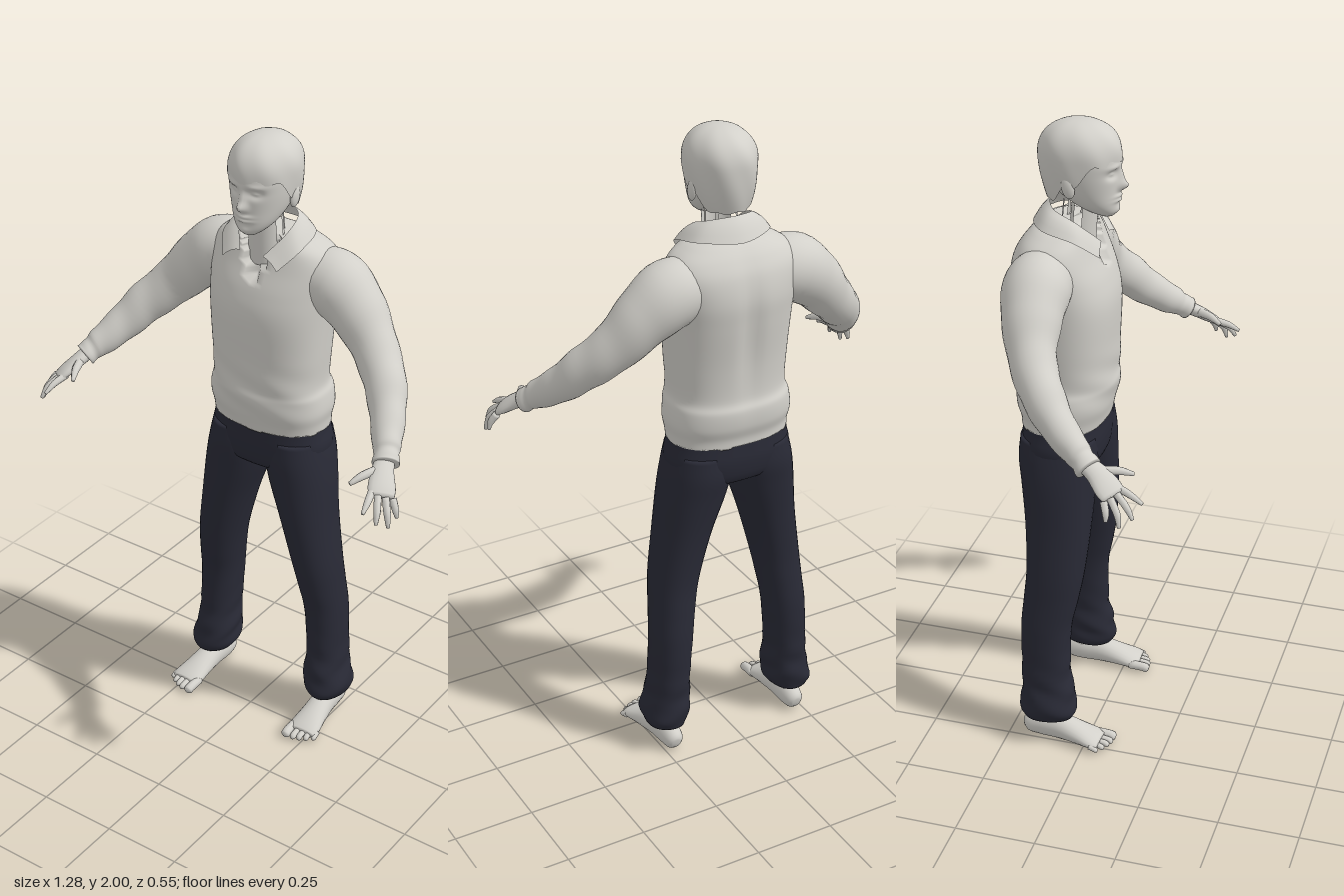
import * as THREE from 'three';
import { mergeVertices } from 'three/addons/utils/BufferGeometryUtils.js';

const V = (x, y, z) => new THREE.Vector3(x, y, z);
const bump = (d, w) => Math.exp(-(d * d) / (w * w));
const power = (c, n) => Math.sign(c) * Math.pow(Math.abs(c), 2 / n);

// Smooth surface from fn(i, j) over nu by nv cells, seams welded
function grid(fn, nu, nv) {
  const pos = [], idx = [];
  for (let i = 0; i <= nu; i++) for (let j = 0; j <= nv; j++) pos.push(...fn(i, j).toArray());
  for (let i = 0; i < nu; i++) for (let j = 0; j < nv; j++) {
    const a = i * (nv + 1) + j, b = a + nv + 1;
    idx.push(a, a + 1, b, a + 1, b + 1, b);
  }
  let g = new THREE.BufferGeometry();
  g.setAttribute('position', new THREE.Float32BufferAttribute(pos, 3));
  g.setIndex(idx);
  g = mergeVertices(g, 1e-5);
  g.computeVertexNormals();
  return g;
}

// Smoothly interpolates rows of up to six numbers
function rows(list) {
  const a = new THREE.CatmullRomCurve3(list.map(r => V(r[0], r[1], r[2])), false, 'catmullrom');
  const b = new THREE.CatmullRomCurve3(list.map(r => V(r[3], r[4] ?? r[3], 0)), false, 'catmullrom');
  return t => ({ a: a.getPoint(t), b: b.getPoint(t), tangent: a.getTangent(t) });
}
const capped = (i, n) => [Math.min(1, Math.max(0, (i - 1) / (n - 2))), i === 0 || i === n ? 0 : 1];

// Upright body from rows [y, centre x, half width, front z, back z]
function loft(list, nu, nv, n = 2.3, tweak = () => {}) {
  const at = rows(list);
  return grid((i, j) => {
    const [t, k] = capped(i, nu), { a, b } = at(t), th = j / nv * Math.PI * 2;
    const p = V(a.y + k * a.z * power(Math.cos(th), n), a.x,
      (b.x + b.y) / 2 - k * (b.x - b.y) / 2 * power(Math.sin(th), n));
    if (k) tweak(p, t, j % nv);
    return p;
  }, nu, nv);
}

// Limb from rows [x, y, z, radius along side, radius across]
function limb(list, side, nu = 14, nv = 12, tweak = () => 1) {
  const at = rows(list);
  return grid((i, j) => {
    const [t, k] = capped(i, nu), { a, b, tangent } = at(t), th = j / nv * Math.PI * 2;
    const s = side.clone().addScaledVector(tangent, -side.dot(tangent)).normalize();
    const c = tangent.clone().cross(s), f = k * tweak(t, th);
    return a.addScaledVector(s, f * b.x * Math.cos(th)).addScaledVector(c, f * b.y * Math.sin(th));
  }, nu, nv);
}

function mirrored(geo) {
  const g = geo.clone().scale(-1, 1, 1), ix = g.index.array;
  for (let i = 0; i < ix.length; i += 3) [ix[i], ix[i + 1]] = [ix[i + 1], ix[i]];
  g.computeVertexNormals();
  return g;
}

export function createModel() {
  const model = new THREE.Group();
  model.name = 'standingMan';
  const pale = new THREE.MeshStandardMaterial({ color: 0xd2d0ca, side: THREE.DoubleSide });
  pale.name = 'paleGrey';
  const navy = new THREE.MeshStandardMaterial({ color: 0x292a36, side: THREE.DoubleSide });
  navy.name = 'darkNavy';
  const add = (name, geo, mat = pale) => {
    const m = new THREE.Mesh(geo, mat);
    m.name = name;
    model.add(m);
  };
  const both = (name, geo, mat) => {
    add('left' + name, geo, mat);
    add('right' + name, mirrored(geo), mat);
  };

  // Sweater: bloused waist, ragged hem, open V at the neck, hollow spine
  add('sweater', loft([
    [1.06, 0, .188, .008, -.248], [1.09, 0, .19, .014, -.25], [1.13, 0, .196, .024, -.262],
    [1.18, 0, .19, .032, -.264], [1.22, 0, .179, .03, -.252], [1.32, 0, .185, .032, -.255],
    [1.45, 0, .193, .035, -.27], [1.53, 0, .2, .018, -.275], [1.6, 0, .205, -.012, -.262],
    [1.645, 0, .185, -.028, -.238], [1.675, 0, .14, -.035, -.21], [1.69, 0, .1, -.045, -.185],
  ], 72, 80, 2.4, (p, t, j) => {
    if (t === 0) p.y += .03 * ((Math.floor(j / 3) * 7) % 5) / 5;
    if (p.z < -.12) p.z += .014 * bump(p.x, .03) * bump(p.y - 1.42, .17);
    else {
      if (p.y > 1.565 && Math.abs(p.x) < (p.y - 1.565) * .55) p.z -= .035;
      p.z += .003 * Math.sin(p.y * 60 + p.x * 25) * bump(p.y - 1.2, .08);
    }
  }));

  // Turned-down collar, ruled between its top and bottom edges
  const edge = pts => new THREE.CatmullRomCurve3(
    [...pts, ...pts.slice(0, -1).reverse().map(([x, y, z]) => [-x, y, z])].map(p => V(...p)));
  const top = edge([[.04, 1.65, -.002], [.085, 1.718, -.07], [.072, 1.745, -.135], [0, 1.755, -.165]]);
  const low = edge([[.095, 1.62, .008], [.135, 1.672, -.055], [.12, 1.695, -.16], [0, 1.69, -.215]]);
  add('collar', grid((i, j) => {
    const p = top.getPoint(j / 40).lerp(low.getPoint(j / 40), i / 4);
    p.y += .008 * Math.sin(i / 4 * Math.PI);
    return p;
  }, 4, 40));

  // Sleeves
  both('Sleeve', limb([
    [.12, 1.56, -.14, .09, .09], [.205, 1.55, -.145, .1, .102], [.285, 1.49, -.135, .088, .088],
    [.36, 1.41, -.11, .07, .073], [.43, 1.34, -.06, .063, .065], [.48, 1.275, 0, .053, .055],
    [.52, 1.225, .065, .043, .045], [.535, 1.207, .09, .037, .036], [.548, 1.19, .113, .041, .036],
  ], V(.7, -.2, -.7), 48, 28, (t, th) => 1 + .025 * Math.sin(t * 48 + 2 * Math.sin(th)) * Math.min(1, t * 2)));

  // Hands
  const across = V(.06, -.025, -.03);
  both('Palm', limb([
    [.54, 1.2, .1, .027, .022], [.555, 1.18, .14, .034, .02], [.575, 1.155, .175, .041, .017],
    [.588, 1.138, .197, .038, .012],
  ], across, 12, 16));
  const digits = {
    Thumb: [[.545, 1.185, .135], [.522, 1.182, .19], [.502, 1.167, .23]],
    IndexFinger: [[.558, 1.152, .195], [.57, 1.138, .24], [.576, 1.118, .276]],
    MiddleFinger: [[.578, 1.143, .2], [.6, 1.115, .237], [.609, 1.083, .257]],
    RingFinger: [[.598, 1.135, .19], [.62, 1.102, .215], [.63, 1.064, .224]],
    LittleFinger: [[.612, 1.13, .175], [.628, 1.105, .185], [.635, 1.08, .187]],
  };
  for (const [name, p] of Object.entries(digits)) {
    const r = name === 'Thumb' ? .014 : .0115;
    both(name, limb([[...p[0], r, r], [...p[1], r * .9, r * .9], [...p[2], r * .45, r * .45]], across, 10, 8));
  }

  // Trousers: hips and two legs with gathered cuffs
  add('hips', loft([
    [.915, 0, .1, -.03, -.19], [.94, 0, .18, -.003, -.232], [1, 0, .199, .005, -.246],
    [1.05, 0, .19, .004, -.244], [1.1, 0, .183, .004, -.24],
  ], 16, 48, 2.4), navy);
  both('TrouserLeg', loft([
    [.09, .225, .06, -.045, -.205], [.12, .224, .073, -.035, -.213], [.17, .216, .069, -.04, -.21],
    [.25, .212, .062, -.055, -.21], [.4, .203, .064, -.054, -.213], [.5, .192, .067, -.035, -.206],
    [.6, .178, .073, -.018, -.2], [.75, .148, .084, -.005, -.21], [.88, .119, .1, 0, -.228],
    [.96, .105, .101, .002, -.24], [1.03, .1, .09, -.005, -.235],
  ], 60, 32, 2.2, p => {
    p.x += .004 * Math.sin(p.y * 75 + p.z * 30) * bump(p.y - .15, .14);
    p.z += .004 * Math.sin(p.y * 70 + p.x * 30) * bump(p.y - .15, .14);
  }), navy);

  // Bare feet and toes
  const X = V(1, 0, 0);
  both('Ankle', limb([[.222, .04, -.14, .033, .04], [.222, .08, -.14, .031, .037],
    [.22, .14, -.135, .034, .038]], X, 8, 16));
  both('Foot', limb([
    [.222, .032, -.203, .014, .016], [.222, .036, -.188, .029, .033], [.222, .044, -.145, .036, .044],
    [.225, .044, -.09, .038, .044], [.229, .033, -.025, .045, .033], [.233, .022, .03, .052, .021],
    [.234, .018, .052, .046, .014],
  ], X, 24, 20));
  for (let i = 0; i < 5; i++) {
    const r = i ? .0105 - i * .0004 : .015, x = i ? .202 + i * .0195 : .195, z = .09 - i * i * .0022;
    both('Toe' + (i + 1), limb([[x, .02, .025, r, r], [x, .018, z - .02, r, r], [x + .001, .013, z - .006, r, r * .9],
      [x + .001, .011, z, r * .5, r * .5]], X, 10, 10));
  }

  // Face, with nose, brows, eye hollows and lips raised from the surface
  add('face', loft([
    [1.72, 0, .022, .024, -.02], [1.735, 0, .043, .035, -.055], [1.76, 0, .064, .038, -.1],
    [1.8, 0, .081, .039, -.15], [1.85, 0, .091, .042, -.17], [1.9, 0, .093, .043, -.172],
    [1.94, 0, .085, .025, -.16], [1.975, 0, .05, -.02, -.12],
  ], 90, 96, 2.15, p => {
    if (p.z < -.05) return;
    const ax = Math.abs(p.x), y = p.y;
    p.z += .024 * bump(p.x, .014) * bump(y - 1.813, .016) + .012 * bump(p.x, .011) * bump(y - 1.84, .025)
      - .014 * bump(ax - .036, .02) * bump(y - 1.855, .013) + .008 * bump(ax - .036, .011) * bump(y - 1.855, .006)
      + .005 * bump(ax - .038, .025) * bump(y - 1.877, .008)
      + .009 * bump(p.x, .024) * (bump(y - 1.783, .006) + bump(y - 1.77, .006))
      + .005 * bump(p.x, .018) * bump(y - 1.738, .012);
  }));

  // Ears
  const ear = new THREE.SphereGeometry(1, 16, 12).scale(.011, .034, .02).rotateX(-.2).translate(.094, 1.825, -.085);
  both('Ear', ear);

  // Hair: a cap whose lower edge drops from the fringe to the nape
  add('hair', grid((i, j) => {
    const th = j / 64 * Math.PI * 2, back = (1 + Math.sin(th)) / 2;
    const y0 = 1.888 - .065 * THREE.MathUtils.smoothstep(back, .2, .5)
      - .055 * THREE.MathUtils.smoothstep(back, .55, .85) + .004 * Math.sin(th * 9);
    const y = y0 + (2 - y0) * Math.sin(i / 24 * Math.PI / 2);
    const r = y > 1.9 ? Math.pow(Math.max(0, 1 - Math.pow((y - 1.9) / .1, 2.2)), 1 / 2.2)
      : 1 - .2 * Math.pow((1.9 - y) / .135, 2);
    const f = r * (1 + .012 * Math.sin(th * 7 + y * 30));
    return V(.104 * f * Math.cos(th), y, -.077 - .123 * f * Math.sin(th));
  }, 24, 64));

  // Neck: open at the back, with a few narrow cords
  const neckStrip = (from, to, n) => grid((i, j) => {
    const a = from + (to - from) * j / n, h = i / 8;
    return V((.058 - .006 * h) * Math.sin(a), 1.6 + .165 * h, -.088 + .012 * h + (.055 - .004 * h) * Math.cos(a));
  }, 8, n);
  add('neckFront', neckStrip(-1.15, 1.15, 20));
  for (const a of [1.6, 2.4]) both('NeckCord', neckStrip(a, a + .2, 3));

  return model;
}
